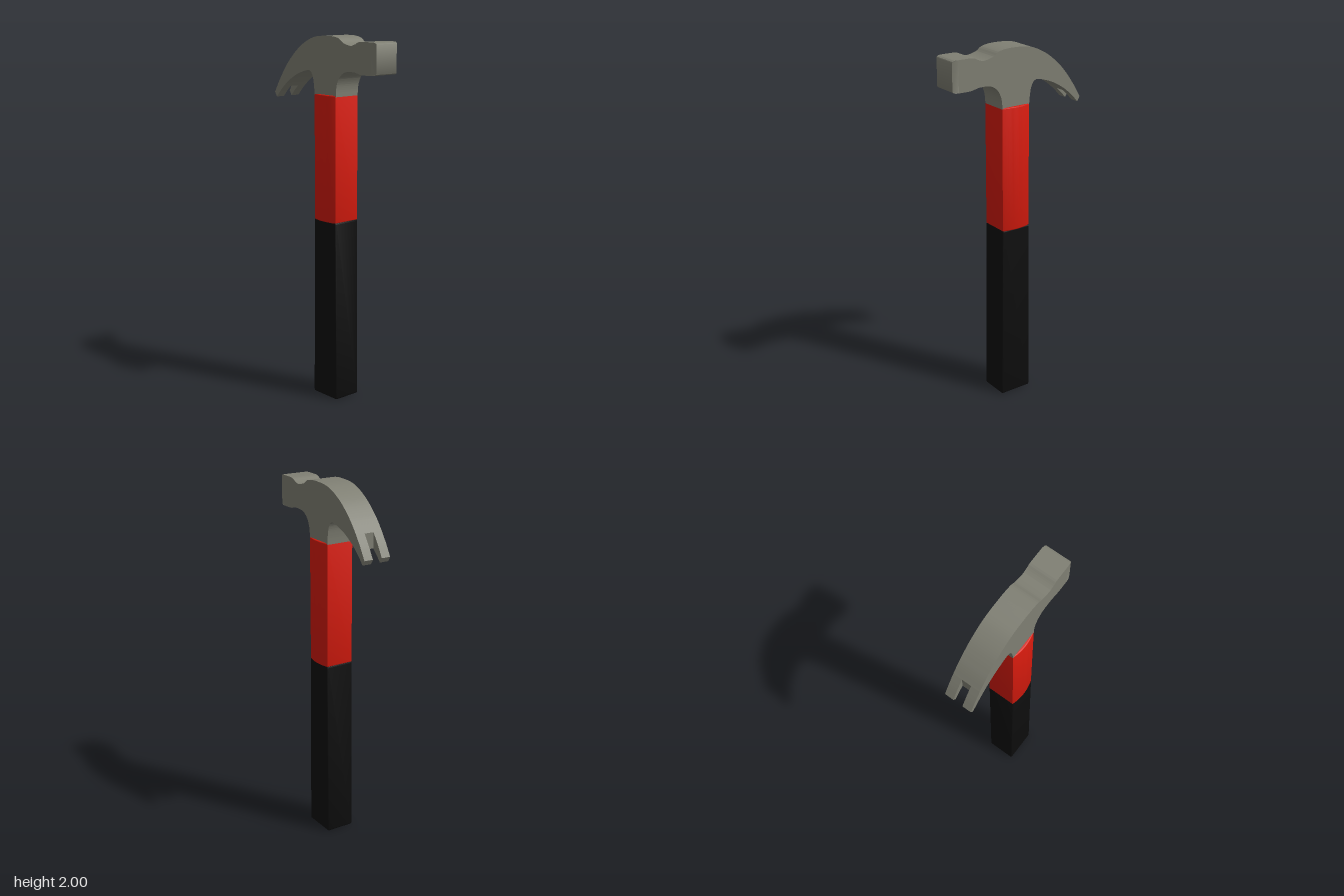
import * as THREE from 'three';
import { toCreasedNormals } from 'three/addons/utils/BufferGeometryUtils.js';

const steel = new THREE.MeshStandardMaterial({ color: 0x7f7f73 });
const red = new THREE.MeshStandardMaterial({ color: 0xd41a0d });
const black = new THREE.MeshStandardMaterial({ color: 0x0d0d0d });

const HALF = 0.078;   // half width of the head
const AXIS = 0.021;   // z of the handle axis

// Closed outline made of smooth runs that meet at sharp corners; points are [z, y].
function outline(runs) {
  const shape = new THREE.Shape();
  shape.moveTo(...runs[0][0]);
  runs.forEach((run, i) => {
    if (i) shape.lineTo(...run[0]);
    if (run.length > 2) shape.splineThru(run.slice(1).map(p => new THREE.Vector2(...p)));
    else if (run.length === 2) shape.lineTo(...run[1]);
  });
  shape.closePath();
  return shape;
}

// Side profile given thickness across x, from x0 to x1.
function slab(shape, x0, x1) {
  const g = new THREE.ExtrudeGeometry(shape, { depth: x1 - x0, bevelEnabled: false, curveSegments: 36 });
  return g.rotateY(-Math.PI / 2).translate(x1, 0, 0);
}

// Plan section run upward from y0 to y1 with softened ends.
function grip(shape, y0, y1, bevel) {
  const g = new THREE.ExtrudeGeometry(shape, {
    depth: y1 - y0 - 2 * bevel, bevelThickness: bevel, bevelSize: bevel,
    bevelOffset: -bevel, bevelSegments: 3, curveSegments: 12,
  });
  return g.rotateX(-Math.PI / 2).translate(0, y0 + bevel, 0);
}

function part(name, geometry, material) {
  const mesh = new THREE.Mesh(toCreasedNormals(geometry, 0.6), material);
  mesh.name = name;
  return mesh;
}

export function createModel() {
  const hammer = new THREE.Group();
  hammer.name = 'hammer';

  // Head: poll, cheek, neck and the root of the claw
  const body = outline([
    [[0.37, 1.98], [0.286, 1.978], [0.25, 1.964], [0.217, 1.956], [0.164, 1.968], [0.122, 1.992],
      [0.04, 2], [-0.075, 1.988], [-0.18, 1.938], [-0.27, 1.862], [-0.328, 1.793]],
    [[-0.328, 1.71], [-0.28, 1.747], [-0.207, 1.787], [-0.127, 1.812], [-0.095, 1.807],
      [-0.077, 1.777], [-0.068, 1.73], [-0.064, 1.685]],
    [[0.106, 1.685], [0.109, 1.725], [0.118, 1.76], [0.14, 1.795], [0.18, 1.819], [0.244, 1.823],
      [0.3, 1.813], [0.37, 1.813]],
  ]);
  hammer.add(part('head', slab(body, -HALF, HALF), steel));

  // Striking face: rim narrows toward the front
  const rim = outline([
    [[0.37, 1.98], [0.388, 1.979], [0.399, 1.975], [0.403, 1.968]],
    [[0.403, 1.825], [0.399, 1.818], [0.388, 1.814], [0.37, 1.813]],
  ]);
  const face = slab(rim, -HALF, HALF);
  const fp = face.attributes.position;
  for (let i = 0; i < fp.count; i++) {
    const t = Math.max(0, (fp.getZ(i) - 0.37) / 0.033);
    fp.setX(i, fp.getX(i) * (1 - 0.09 * t * t));
  }
  hammer.add(part('strikingFace', face, steel));

  // Claw: two tines with a slot between them
  const tine = outline([
    [[-0.328, 1.793], [-0.368, 1.735], [-0.403, 1.676]],
    [[-0.387, 1.65], [-0.358, 1.682], [-0.328, 1.71]],
  ]);
  hammer.add(part('leftTine', slab(tine, 0.027, HALF), steel));
  hammer.add(part('rightTine', slab(tine, -HALF, -0.027), steel));

  // Shaft: flat front and back, bulging sides
  const plan = new THREE.Shape();
  plan.moveTo(-0.078, -0.085);
  plan.lineTo(0.078, -0.085);
  plan.quadraticCurveTo(0.105, 0, 0.078, 0.085);
  plan.lineTo(-0.078, 0.085);
  plan.quadraticCurveTo(-0.105, 0, -0.078, -0.085);
  hammer.add(part('shaft', grip(plan, 1.005, 1.692, 0.006).translate(0, 0, AXIS), red));

  // Grip: box section with small corner radii, widening toward the butt
  const w = 0.081, d = 0.086, r = 0.008;
  const box = new THREE.Shape();
  box.moveTo(-w + r, -d);
  box.lineTo(w - r, -d);
  box.quadraticCurveTo(w, -d, w, -d + r);
  box.lineTo(w, d - r);
  box.quadraticCurveTo(w, d, w - r, d);
  box.lineTo(-w + r, d);
  box.quadraticCurveTo(-w, d, -w, d - r);
  box.lineTo(-w, -d + r);
  box.quadraticCurveTo(-w, -d, -w + r, -d);
  const handle = grip(box, 0, 1.012, 0.012);
  const hp = handle.attributes.position;
  for (let i = 0; i < hp.count; i++) hp.setZ(i, hp.getZ(i) * (1 + 0.11 * (1 - hp.getY(i) / 1.012)));
  hammer.add(part('grip', handle.translate(0, 0, AXIS), black));

  return hammer;
}
